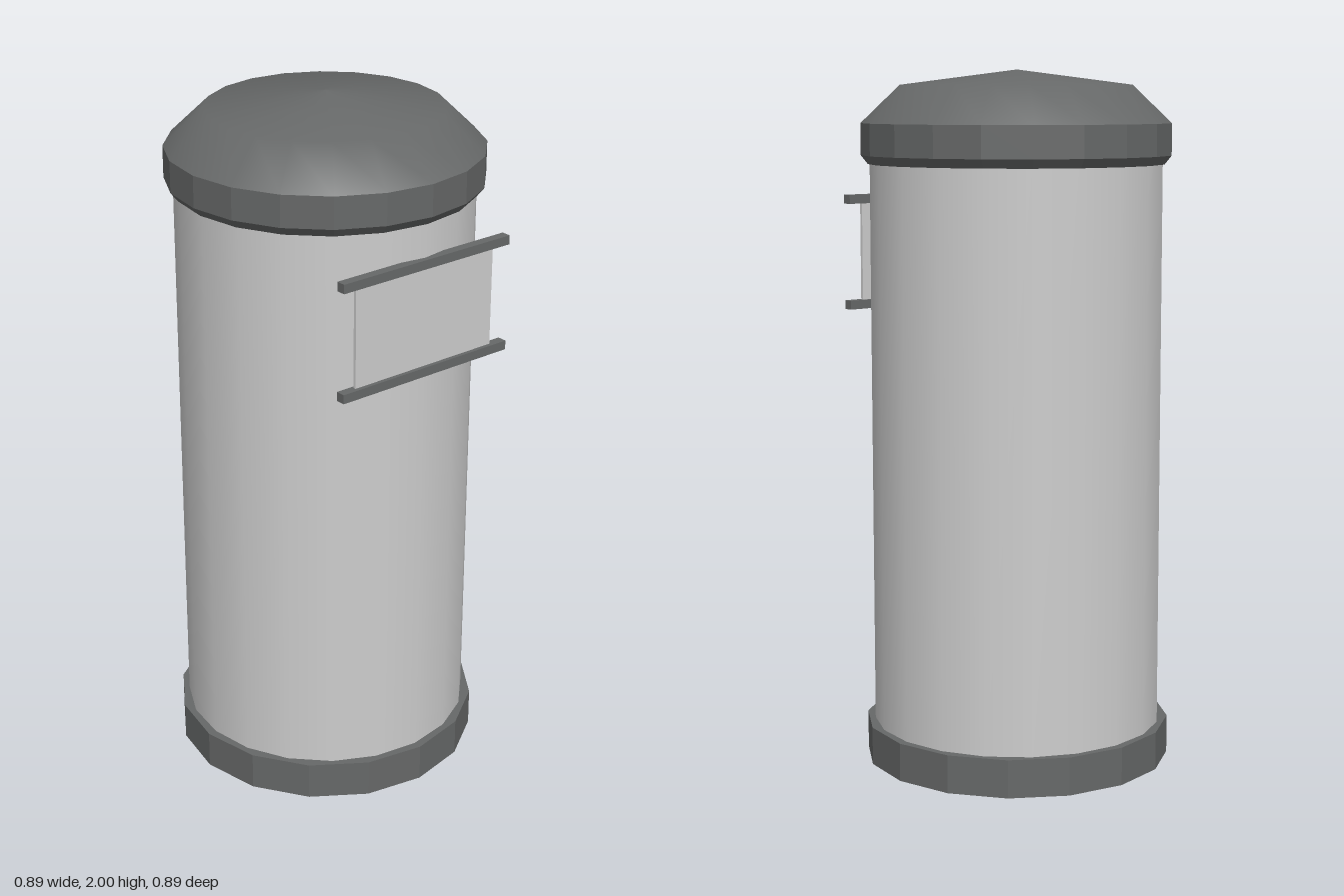
import * as THREE from 'three';

const bodyGrey = new THREE.MeshStandardMaterial({ color: 0xcdcdcd });
bodyGrey.name = 'light grey';
const trimGrey = new THREE.MeshStandardMaterial({ color: 0x666868 });
trimGrey.name = 'dark grey';

// Revolve a profile; faceted gives each side its own flat normal
function turned(points, sides, faceted) {
  const lathe = new THREE.LatheGeometry(points.map(([r, y]) => new THREE.Vector2(r, y)), sides);
  if (!faceted) return lathe;
  const flat = lathe.toNonIndexed();
  flat.computeVertexNormals();
  return flat;
}

export function createModel() {
  const model = new THREE.Group();
  model.name = 'pillarBin';

  function add(name, geometry, material, x = 0, y = 0, z = 0) {
    const mesh = new THREE.Mesh(geometry, material);
    mesh.name = name;
    mesh.position.set(x, y, z);
    model.add(mesh);
  }

  // Smooth round body
  add('body', new THREE.CylinderGeometry(0.42, 0.42, 1.68, 20, 1, true), bodyGrey, 0, 0.92, 0);

  // Plinth ring with a recessed floor underneath
  add('base', turned([[0, 0.07], [0.38, 0.07], [0.38, 0], [0.445, 0], [0.445, 0.11], [0.4, 0.11]], 16, true), trimGrey);

  // Lid: faceted rim with a chamfered lower edge, smooth dome on top
  add('lidRim', turned([[0.4, 1.735], [0.425, 1.735], [0.445, 1.76], [0.445, 1.85]], 20, true), trimGrey);
  add('lidDome', turned([[0.445, 1.85], [0.333, 1.957], [0, 2]], 20, false), trimGrey);

  // Front plate held between two rails
  add('frontPlate', new THREE.BoxGeometry(0.48, 0.3, 0.009), bodyGrey, 0, 1.47, 0.4195);
  for (const [name, y] of [['lowerRail', 1.317], ['upperRail', 1.627]]) {
    add(name, new THREE.BoxGeometry(0.58, 0.026, 0.028), trimGrey, 0, y, 0.422);
  }
  return model;
}
